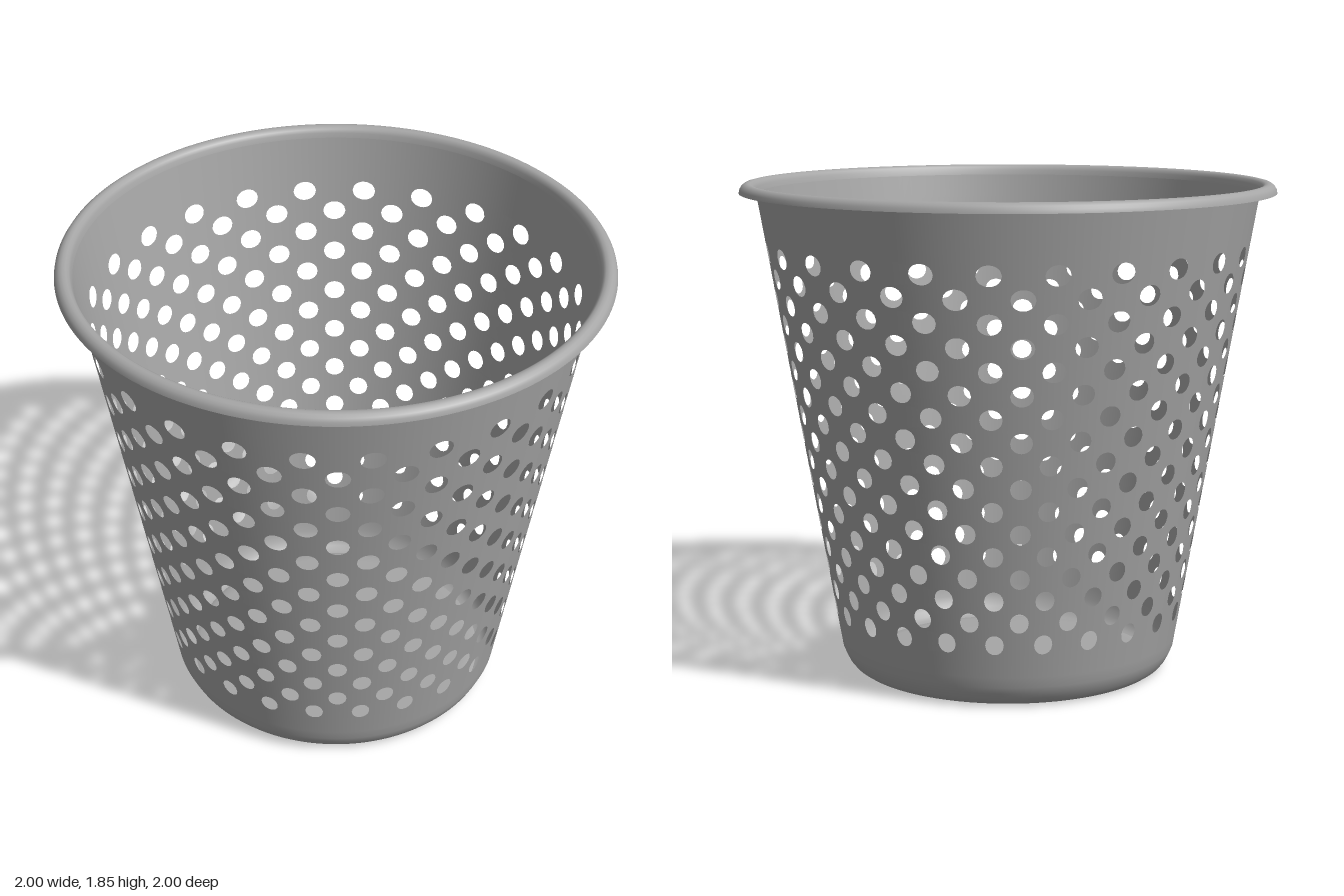
import * as THREE from 'three';

const SLOPE = 0.171;
const wallRadius = (y) => 0.626 + SLOPE * y;
const ROWS = 17, PER_ROW = 24, STEP = 0.0844, FIRST = 0.247;
const LOW = FIRST - STEP / 2, HIGH = LOW + ROWS * STEP;
const SEGMENTS = PER_ROW * 8;

// Outline of one wall cell in -1..1 units, counter-clockwise
function cellOutline() {
  const pts = [];
  for (let i = 0; i < 4; i++) pts.push([1, -1 + i / 2]);
  for (let i = 0; i < 8; i++) pts.push([1 - i / 4, 1]);
  for (let i = 0; i < 4; i++) pts.push([-1, 1 - i / 2]);
  for (let i = 0; i < 8; i++) pts.push([-1 + i / 4, -1]);
  return pts;
}

// Conical wall of staggered cells, each with an oval hole
function perforatedWall() {
  const pos = [], nor = [], idx = [];
  const outline = cellOutline(), n = outline.length;
  const len = Math.hypot(1, SLOPE);
  const add = (angle, y) => {
    const r = wallRadius(y), s = Math.sin(angle), c = Math.cos(angle);
    pos.push(r * s, y, r * c);
    nor.push(s / len, -SLOPE / len, c / len);
  };
  for (let row = 0; row < ROWS; row++) {
    const y = FIRST + row * STEP;
    for (let k = 0; k < PER_ROW; k++) {
      const mid = (k + (row % 2) / 2) * Math.PI * 2 / PER_ROW;
      const base = pos.length / 3;
      for (const [u, v] of outline) {
        const t = Math.atan2(v, u);
        add(mid + u * Math.PI / PER_ROW, y + v * STEP / 2);
        add(mid + 0.05 * Math.cos(t), y + 0.037 * Math.sin(t));
      }
      for (let i = 0; i < n; i++) {
        const a = base + 2 * i, b = base + 2 * ((i + 1) % n);
        idx.push(a, b, b + 1, a, b + 1, a + 1);
      }
    }
  }
  const g = new THREE.BufferGeometry();
  g.setAttribute('position', new THREE.Float32BufferAttribute(pos, 3));
  g.setAttribute('normal', new THREE.Float32BufferAttribute(nor, 3));
  g.setIndex(idx);
  return g;
}

export function createModel() {
  const basket = new THREE.Group();
  basket.name = 'wasteBasket';
  const plastic = new THREE.MeshStandardMaterial({ color: 0xa6a6a6, side: THREE.DoubleSide });
  plastic.name = 'greyPlastic';

  const add = (name, geometry) => {
    const mesh = new THREE.Mesh(geometry, plastic);
    mesh.name = name;
    basket.add(mesh);
  };
  const lathe = (points) =>
    new THREE.LatheGeometry(points.map(([r, y]) => new THREE.Vector2(r, y)), SEGMENTS);

  // Slightly raised floor panel
  add('floor', lathe([[0, 0.01], [0.3, 0.01], [0.52, 0.01], [0.555, 0.007], [0.572, 0]]));

  // Rounded foot and plain lower band
  add('base', lathe([
    [0.572, 0], [0.588, 0.005], [0.604, 0.016], [0.618, 0.033], [0.629, 0.055],
    [wallRadius(0.08), 0.08], [wallRadius(0.12), 0.12], [wallRadius(LOW), LOW],
  ]));

  add('perforatedWall', perforatedWall());

  // Plain band under the rim
  add('upperBand', lathe([
    [wallRadius(HIGH), HIGH], [wallRadius(1.72), 1.72], [wallRadius(1.81), 1.81],
  ]));

  // Lip curling outwards and down
  add('rim', lathe([
    [wallRadius(1.81), 1.81], [0.94, 1.828], [0.946, 1.841], [0.956, 1.848], [0.968, 1.85],
    [0.98, 1.847], [0.99, 1.839], [0.997, 1.828], [1, 1.814],
  ]));

  return basket;
}
